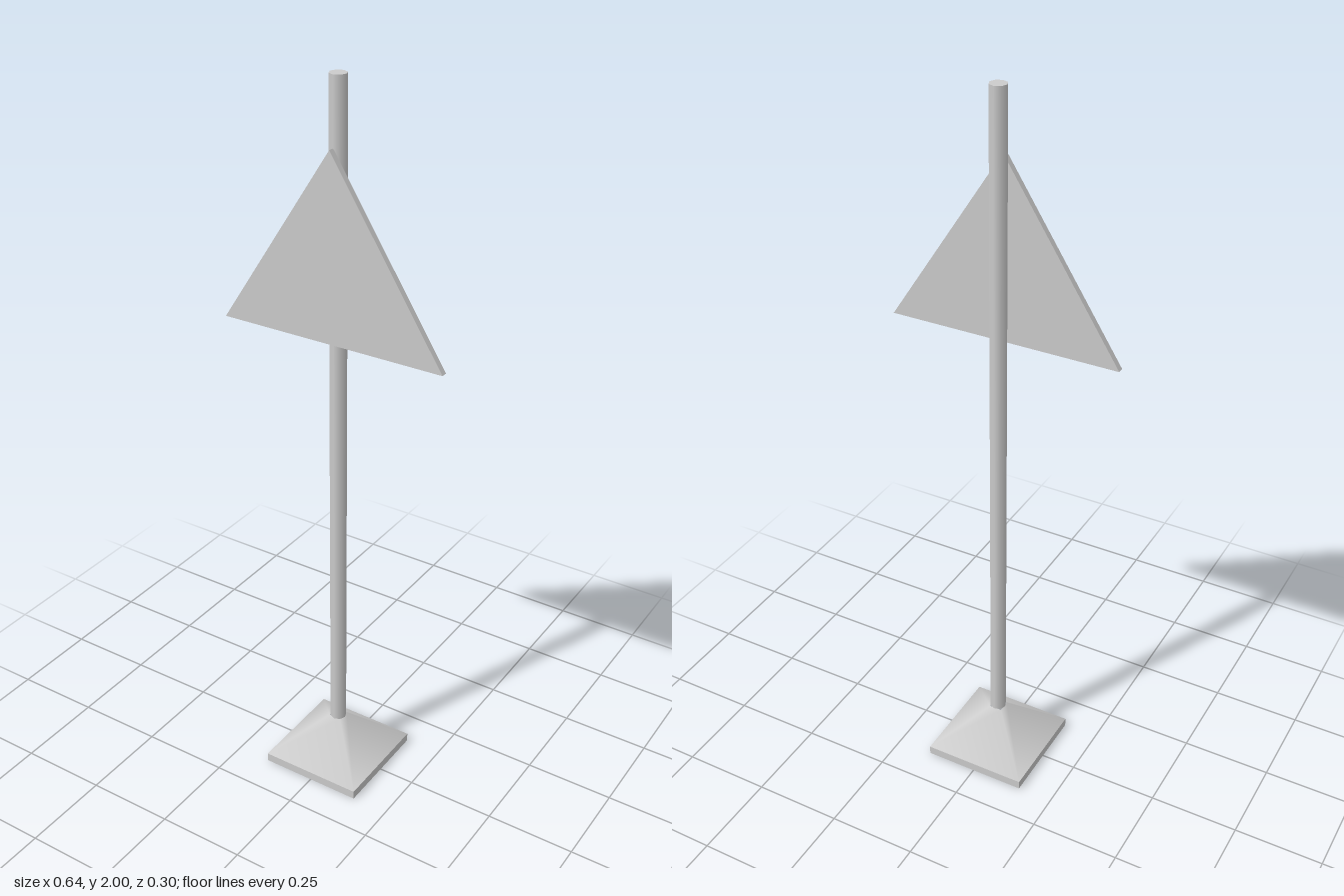
import * as THREE from 'three';

export function createModel() {
  const group = new THREE.Group();
  const solid = new THREE.MeshStandardMaterial({ color: 0xcccccc });
  const shell = new THREE.MeshStandardMaterial({ color: 0xcccccc, side: THREE.DoubleSide });
  const shellFlat = new THREE.MeshStandardMaterial({ color: 0xcccccc, side: THREE.DoubleSide, flatShading: true });

  const add = (name, geometry, material, x, y, z, parent = group) => {
    const mesh = new THREE.Mesh(geometry, material);
    mesh.name = name;
    mesh.position.set(x, y, z);
    parent.add(mesh);
    return mesh;
  };

  // Open four-sided ring given half-widths, sides facing the axes
  const squareTube = (top, bottom, height) =>
    new THREE.CylinderGeometry(top * Math.SQRT2, bottom * Math.SQRT2, height, 4, 1, true).rotateY(Math.PI / 4);

  // Hollow foot: a low upright rim under a pyramid
  const rimTop = 0.025, poleBottom = 0.138, half = 0.148;
  const foot = new THREE.Group();
  foot.name = 'foot';
  foot.position.set(-0.002, 0, -0.002);
  group.add(foot);
  add('footRim', squareTube(half, half, rimTop), shellFlat, 0, rimTop / 2, 0, foot);
  add('footPyramid', squareTube(0.018, half, poleBottom - rimTop), shell, 0, (rimTop + poleBottom) / 2, 0, foot);

  // Octagonal pole
  add('pole', new THREE.CylinderGeometry(0.023, 0.023, 2 - poleBottom, 8), solid, 0, (2 + poleBottom) / 2, 0);

  // Triangular plate on the front of the pole
  const triangle = new THREE.Shape([
    new THREE.Vector2(-0.32, 0),
    new THREE.Vector2(0.32, 0),
    new THREE.Vector2(0, 0.495),
  ]);
  const plate = new THREE.ExtrudeGeometry(triangle, { depth: 0.017, bevelEnabled: false });
  add('signPlate', plate, solid, 0, 1.333, 0.022);

  return group;
}
